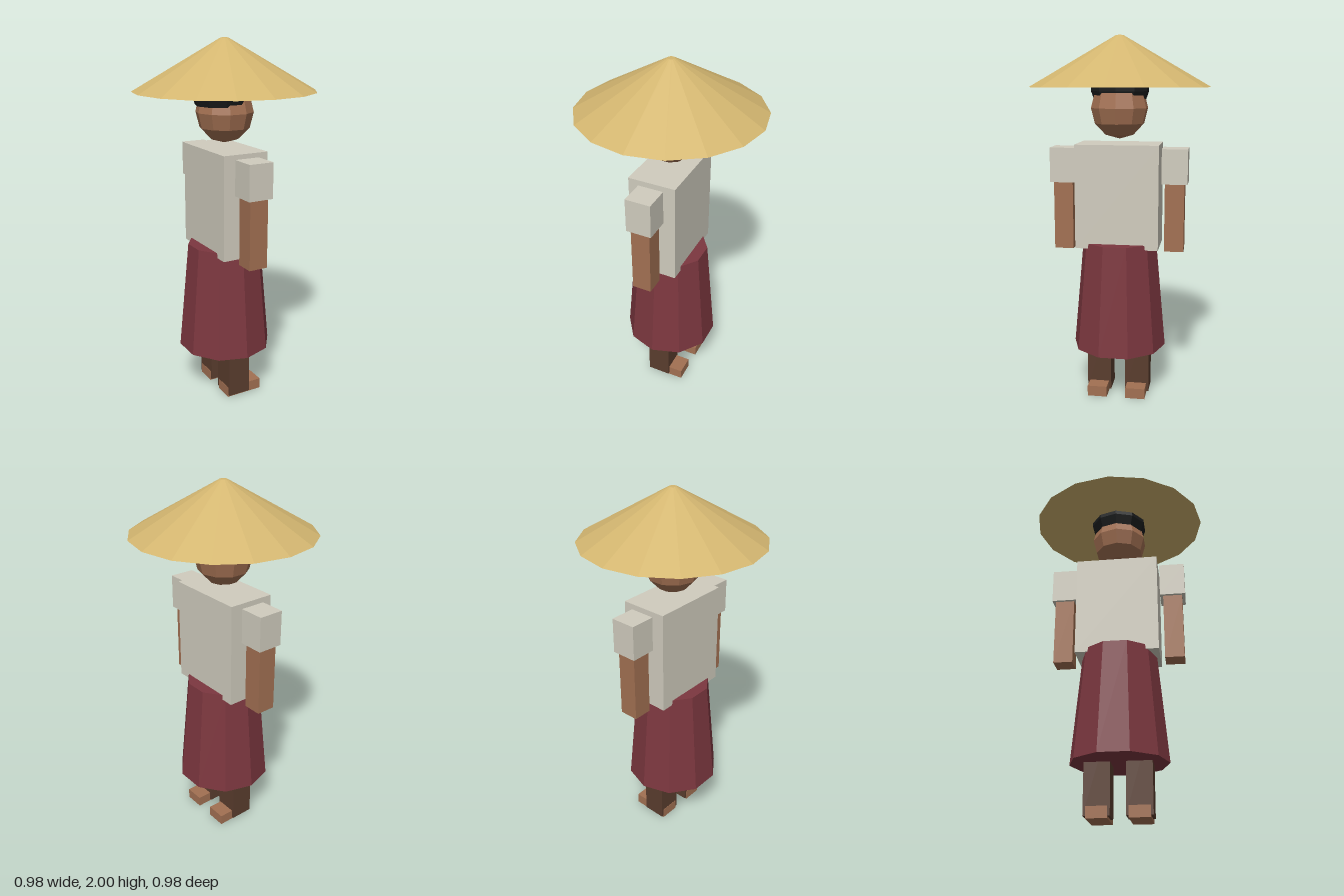
import * as THREE from 'three';

function material(name, color) {
  const m = new THREE.MeshStandardMaterial({ color, flatShading: true });
  m.name = name;
  return m;
}

export function createModel() {
  const model = new THREE.Group();
  model.name = 'farmer';

  const straw = material('straw', 0xd3b670);
  const skin = material('skin', 0xa27052);
  const black = material('black hair', 0x1a1c1d);
  const cloth = material('cream cloth', 0xd0ccbe);
  const maroon = material('maroon cloth', 0x7c373f);
  const brown = material('brown cloth', 0x5a3d2e);

  const add = (name, geometry, mat, x, y, z) => {
    const mesh = new THREE.Mesh(geometry, mat);
    mesh.name = name;
    mesh.position.set(x, y, z);
    model.add(mesh);
    return mesh;
  };
  // Box given by its bottom and top heights
  const box = (name, mat, w, d, y0, y1, x, z) =>
    add(name, new THREE.BoxGeometry(w, y1 - y0, d), mat, x, (y0 + y1) / 2, z);

  // Wide conical hat with a closed underside
  add('hat', new THREE.CylinderGeometry(0.02, 0.49, 0.27, 16), straw, 0, 1.865, 0);

  // Faceted head and the hair cap under the hat
  const head = add('head', new THREE.SphereGeometry(0.165, 10, 6), skin, 0, 1.62, 0);
  head.scale.set(0.95, 1, 0.95);
  const hair = new THREE.SphereGeometry(0.162, 10, 6, 0, Math.PI * 2, 0, Math.PI * 2 / 3);
  black.side = THREE.DoubleSide;
  add('hair', hair, black, -0.02, 1.737, 0);

  // Shirt and long skirt
  box('shirt', cloth, 0.262, 0.454, 0.863, 1.43, 0, 0);
  add('skirt', new THREE.CylinderGeometry(0.206, 0.262, 0.61, 10), maroon, 0, 0.585, 0);

  // Limbs mirrored across z; the figure looks along +x
  for (const side of [-1, 1]) {
    box('sleeve', cloth, 0.14, 0.14, 1.217, 1.407, 0, side * 0.307);
    box('arm', skin, 0.106, 0.106, 0.842, 1.217, 0, side * 0.307);
    box('leg', brown, 0.13, 0.136, 0.012, 0.5, 0, side * 0.108);
    box('foot', skin, 0.213, 0.11, 0, 0.06, 0.04, side * 0.108);
  }

  return model;
}
